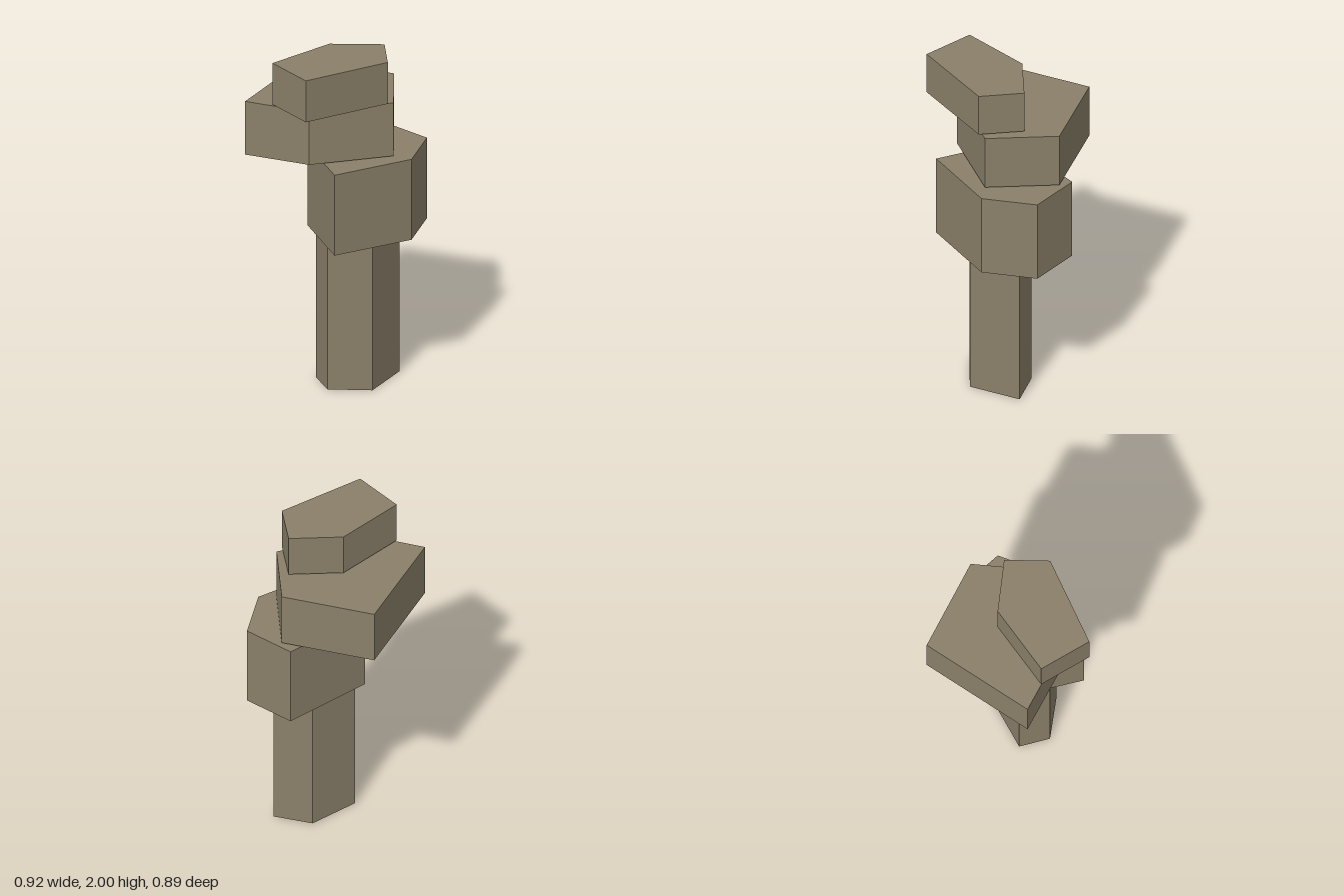
import * as THREE from 'three';

// Each block is a five-sided prism: bottom, top and its [x, z] outline.
const blocks = [
  { name: 'post', bottom: 0, top: 0.9,
    outline: [[-0.02, 0.325], [0.28, 0.24], [0.185, 0.03], [-0.115, -0.03], [-0.19, 0.135]] },
  { name: 'lowerBlock', bottom: 0.905, top: 1.4,
    outline: [[-0.297, 0.298], [0.173, 0.445], [0.455, 0.287], [0.442, -0.027], [-0.095, -0.12]] },
  { name: 'middleBlock', bottom: 1.41, top: 1.737,
    outline: [[-0.31, 0.107], [0.12, 0.355], [0.42, 0.058], [0.203, -0.446], [-0.46, -0.255]] },
  { name: 'topSlab', bottom: 1.745, top: 2,
    outline: [[-0.443, 0.214], [0.073, 0.355], [0.244, 0.158], [0.03, -0.068], [-0.395, -0.1]] },
];

// Extrudes a ground outline upwards.
function prism({ bottom, top, outline }) {
  const shape = new THREE.Shape(outline.map(([x, z]) => new THREE.Vector2(x, -z)));
  return new THREE.ExtrudeGeometry(shape, { depth: top - bottom, bevelEnabled: false })
    .rotateX(-Math.PI / 2)
    .translate(0, bottom, 0);
}

export function createModel() {
  const stone = new THREE.MeshStandardMaterial({ color: 0x8a7f69, flatShading: true });
  stone.name = 'stone';

  const model = new THREE.Group();
  model.name = 'stackedRockPillar';
  for (const block of blocks) {
    const mesh = new THREE.Mesh(prism(block), stone);
    mesh.name = block.name;
    model.add(mesh);
  }
  return model;
}
